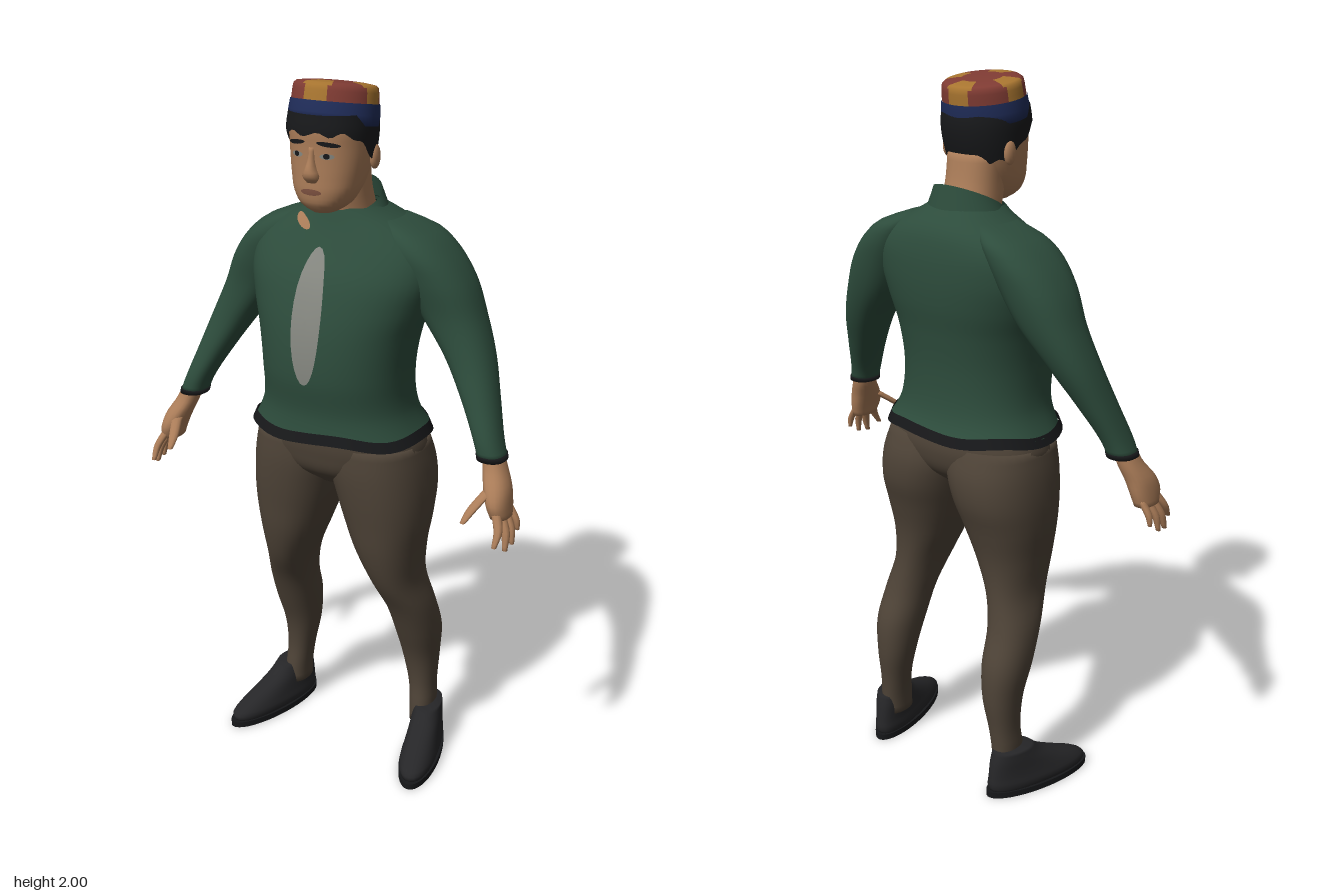
import * as THREE from 'three';

const mat = (name, color, side = THREE.FrontSide) => {
  const m = new THREE.MeshStandardMaterial({ color, side });
  m.name = name;
  return m;
};
const SQUARE = 0.88; // below 1 makes the cross-sections a little boxy
const bend = (v, p) => Math.sign(v) * Math.abs(v) ** p;
const lerp = THREE.MathUtils.lerp;

// Skin rows of points (bottom to top, each running anticlockwise from above)
function skin(rows, closed = true, pick = null) {
  const n = rows[0].length, lists = [[], []];
  for (let j = 0; j < rows.length - 1; j++) {
    for (let i = 0; i < (closed ? n : n - 1); i++) {
      const k = (i + 1) % n, a = j * n + i, b = j * n + k, c = a + n, d = b + n;
      lists[pick ? pick(i, j) : 0].push(a, b, c, b, d, c);
    }
  }
  const g = new THREE.BufferGeometry().setFromPoints(rows.flat());
  g.setIndex(lists.flat());
  if (pick) {
    g.addGroup(0, lists[0].length, 0);
    g.addGroup(lists[0].length, lists[1].length, 1);
  }
  g.computeVertexNormals();
  return g;
}

// Smooth surface through sections [y, xMin, xMax, zBack, zFront]
function surface(sections) {
  const curve = new THREE.CubicInterpolant(
    new Float32Array(sections.map(s => s[0])), new Float32Array(sections.flatMap(s => s.slice(1))), 4);
  const at = y => {
    const [x0, x1, z0, z1] = curve.evaluate(y);
    return { cx: (x0 + x1) / 2, rx: (x1 - x0) / 2, cz: (z0 + z1) / 2, rz: (z1 - z0) / 2 };
  };
  return {
    y0: sections[0][0], y1: sections[sections.length - 1][0],
    // point at angle a, measured from the front towards +x
    point(y, a, grow = 1) {
      const s = at(y);
      return new THREE.Vector3(s.cx + s.rx * grow * bend(Math.sin(a), SQUARE), y,
        s.cz + s.rz * grow * bend(Math.cos(a), SQUARE));
    },
    front(x, y, lift) {
      const s = at(y), t = THREE.MathUtils.clamp((x - s.cx) / s.rx, -1, 1);
      const a = Math.asin(bend(t, 1 / SQUARE));
      return new THREE.Vector3(x, y, s.cz + s.rz * Math.cos(a) ** SQUARE + lift);
    },
  };
}

function loft(surf, { steps = 24, sides = 32, bottom = true, top = true } = {}) {
  const rows = [];
  for (let j = 0; j <= steps; j++) {
    const y = lerp(surf.y0, surf.y1, j / steps);
    rows.push(Array.from({ length: sides }, (_, i) => surf.point(y, i / sides * Math.PI * 2)));
  }
  const cap = row => {
    const c = row.reduce((s, p) => s.add(p), new THREE.Vector3()).divideScalar(sides);
    return row.map(() => c.clone());
  };
  if (bottom) rows.unshift(cap(rows[0]));
  if (top) rows.push(cap(rows[rows.length - 1]));
  return skin(rows);
}

// Band around an axis: fn(angle, v) gives each point
function band(fn, sides = 48, steps = 6) {
  return skin(Array.from({ length: steps + 1 }, (_, j) =>
    Array.from({ length: sides }, (_, i) => fn(i / sides * Math.PI * 2, j / steps))));
}

// Thin oval laid on the front of a surface
function patch(surf, x, y, w, h, lift = 0.004, tilt = 0) {
  return band((a, v) => {
    const px = Math.cos(a) * w * (1 - v);
    return surf.front(x + px, y + Math.sin(a) * h * (1 - v) + px * tilt, lift);
  }, 28, 8);
}

const both = rows => rows.map(([y, w, b, f]) => [y, -w, w, b, f]);
const mirror = (rows, s) => s > 0 ? rows : rows.map(([y, a, b, c, d]) => [y, -b, -a, c, d]);

export function createModel() {
  const model = new THREE.Group();
  const green = mat('green jumper', 0x2d4c3c, THREE.DoubleSide);
  const brown = mat('brown trousers', 0x4e4337);
  const flesh = mat('skin', 0xaa7c58);
  const black = mat('black hair and trim', 0x17181a, THREE.DoubleSide);
  const shoeGrey = mat('charcoal shoe', 0x262628);
  const grey = mat('pale grey', 0x858780);
  const red = mat('hat red', 0x7f3b33);
  const gold = mat('hat gold', 0xa87530);
  const navy = mat('hat navy', 0x202d5a);
  const lip = mat('lip', 0x7d5140);
  const add = (name, geometry, material, parent = model) => {
    const m = new THREE.Mesh(geometry, material);
    m.name = name;
    parent.add(m);
    return m;
  };

  // Jumper body, hem, chest panel and stand-up collar
  const torso = surface(both([
    [1.06, .25, -.19, .2], [1.09, .232, -.172, .195], [1.13, .216, -.16, .192], [1.23, .21, -.155, .205],
    [1.34, .225, -.166, .2], [1.42, .25, -.18, .184], [1.5, .268, -.185, .157], [1.57, .25, -.18, .118],
    [1.62, .19, -.165, .09], [1.65, .13, -.14, .076], [1.67, .1, -.11, .068]]));
  add('jumperBody', loft(torso, { steps: 40, sides: 48, bottom: false, top: false }), green);
  add('jumperHem', band((a, v) => {
    const p = torso.point(1.07, a, 1.06 - v * .05);
    p.y = 1.05 + v * .028 + .006 * Math.sin(a * 5) + .004 * Math.cos(a * 2);
    return p;
  }, 64, 3), black);
  add('chestPanel', patch(torso, -.003, 1.398, .044, .178), grey);
  add('neckOpening', patch(torso, -.075, 1.628, .028, .014, .006, -.4), flesh);
  add('collar', band((a, v) => new THREE.Vector3(
    Math.sin(a) * lerp(.118, .094, v), lerp(1.645, 1.688, v) - Math.cos(a) * lerp(.012, .04, v),
    -.018 + Math.cos(a) * lerp(.102, .085, v)), 40, 5), green);

  // Hips
  add('hips', loft(surface(both([
    [.89, .07, -.08, .08], [.94, .19, -.14, .14], [1, .247, -.162, .16], [1.06, .235, -.158, .165],
    [1.12, .2, -.14, .16]]))), brown);

  for (const s of [1, -1]) {
    const side = s > 0 ? 'left' : 'right';
    const part = (name, rows, material, options) =>
      add(side + name, loft(surface(mirror(rows, s)), options), material);

    // Sleeve and cuff
    part('Sleeve', [
      [1.065, .44, .515, .005, .092], [1.1, .428, .502, -.005, .09], [1.2, .372, .469, -.05, .066],
      [1.3, .305, .436, -.096, .045], [1.4, .225, .396, -.13, .04], [1.5, .165, .352, -.15, .055],
      [1.57, .13, .295, -.155, .06], [1.61, .11, .24, -.145, .045], [1.64, .09, .16, -.11, .02]],
    green, { steps: 36 });
    part('Cuff', [[1.06, .439, .518, .003, .095], [1.073, .436, .515, .001, .094]], black, { steps: 1 });

    // Hand: palm, four fingers and a forward thumb
    part('Palm', [
      [.925, .505, .556, .05, .135], [.96, .494, .553, .04, .146], [1.0, .478, .545, .034, .13],
      [1.04, .463, .525, .024, .1], [1.09, .452, .502, .018, .082]], flesh, { steps: 12, sides: 20 });
    const finger = (name, r, points) => part(name, points.map(([x, y, z], i) => {
      const k = r * [.55, .95, 1.1][i];
      return [y, x - k, x + k, z - k, z + k];
    }), flesh, { steps: 8, sides: 10 });
    finger('IndexFinger', .012, [[.548, .868, .172], [.548, .905, .15], [.528, .95, .125]]);
    finger('MiddleFinger', .012, [[.563, .848, .135], [.557, .893, .122], [.532, .94, .105]]);
    finger('RingFinger', .011, [[.567, .853, .1], [.56, .895, .094], [.535, .94, .083]]);
    finger('LittleFinger', .01, [[.565, .878, .062], [.56, .905, .062], [.535, .945, .06]]);
    finger('Thumb', .014, [[.468, .93, .195], [.477, .955, .165], [.5, .995, .112]]);

    // Leg
    part('Leg', [
      [.08, .188, .25, -.15, -.05], [.13, .186, .258, -.152, -.05], [.2, .178, .255, -.157, -.058],
      [.3, .158, .26, -.17, -.045], [.4, .145, .27, -.166, -.008], [.5, .135, .264, -.132, .034],
      [.6, .11, .243, -.115, .088], [.7, .066, .25, -.12, .12], [.8, .028, .264, -.145, .136],
      [.88, .002, .267, -.17, .147], [.96, -.02, .26, -.172, .153], [1.03, -.02, .245, -.15, .15]],
    brown, { steps: 44 });

    // Shoe with a flat sole, toes turned out
    const foot = new THREE.Group();
    foot.name = side + 'Foot';
    foot.position.set(.264 * s, 0, -.014);
    foot.rotation.y = .26 * s;
    model.add(foot);
    const sole = add(side + 'Sole', new THREE.CylinderGeometry(1, 1, .018, 40), black, foot);
    sole.scale.set(.058, 1, .176);
    sole.position.y = .009;
    add(side + 'Shoe', loft(surface([
      [.016, -.05, .05, -.165, .162], [.035, -.054, .054, -.17, .165], [.055, -.05, .05, -.168, .135],
      [.08, -.046, .046, -.165, .075], [.11, -.043, .043, -.16, .01], [.14, -.039, .039, -.152, -.028]]),
    { steps: 14 }), shoeGrey, foot);

    // Ear, eye and brow
    const ear = add(side + 'Ear', new THREE.SphereGeometry(1, 14, 10), flesh);
    ear.scale.set(.012, .032, .02);
    ear.position.set(.106 * s, 1.805, .025);
  }

  // Neck and head
  add('neck', loft(surface(both([
    [1.6, .085, -.09, .06], [1.66, .08, -.085, .07], [1.72, .077, -.065, .085], [1.8, .08, -.05, .09]])),
  { steps: 10 }), flesh);
  const head = surface(both([
    [1.668, .03, .05, .13], [1.685, .058, .025, .152], [1.72, .083, 0, .163], [1.76, .095, -.025, .163],
    [1.8, .102, -.04, .162], [1.84, .106, -.05, .162], [1.88, .108, -.053, .163], [1.92, .104, -.045, .155]]));
  add('head', loft(head, { sides: 40 }), flesh);
  add('nose', loft(surface(both([
    [1.752, .015, .14, .17], [1.767, .023, .14, .183], [1.785, .016, .14, .183], [1.81, .01, .14, .173],
    [1.84, .01, .13, .166]])), { steps: 10, sides: 16 }), flesh);
  add('mouth', patch(head, 0, 1.728, .03, .008, .004), lip);
  for (const s of [1, -1]) {
    const side = s > 0 ? 'left' : 'right';
    add(side + 'EyeWhite', patch(head, .043 * s, 1.82, .018, .007, .003), grey);
    add(side + 'Pupil', patch(head, .043 * s, 1.821, .008, .007, .005), black);
    add(side + 'Brow', patch(head, .046 * s, 1.85, .029, .006, .004, -.12 * s), black);
  }

  // Hair: short fringe, longer behind the ears and at the nape
  add('hair', band((a, v) => {
    const behind = Math.abs(Math.PI - a), fromFront = Math.PI - behind;
    const low = 1.873 - .09 * THREE.MathUtils.smoothstep(fromFront, .8, 2.1) + .006 * Math.sin(a * 11);
    return head.point(lerp(low, 1.92, v), a, 1.065);
  }, 64, 8), black);

  // Round hat, tipped back: navy band under a red crown with four gold panels
  const hat = new THREE.Group();
  hat.name = 'hat';
  hat.position.set(0, 1.885, .053);
  hat.rotation.x = -.15;
  model.add(hat);
  const ring = (y, r, n = 64) => Array.from({ length: n }, (_, i) => {
    const a = i / n * Math.PI * 2;
    return new THREE.Vector3(Math.sin(a) * r * 1.1, y, Math.cos(a) * r);
  });
  add('hatBand', skin([ring(0, 0), ring(0, .107), ring(.026, .109), ring(.054, .106)]), navy, hat);
  const profile = [[.052, .104], [.066, .103], [.08, .102], [.092, .1], [.098, .093], [.1, .08],
    [.102, .066], [.103, .052], [.104, .03], [.104, 0]];
  add('hatCrown', skin(profile.map(([y, r]) => ring(y, r)), true, (i, j) => {
    const quarter = (i + .5) % 16, away = Math.min(quarter, 16 - quarter);
    return j < 7 && away < (j < 3 ? 3 : 3.6) ? 1 : 0;
  }), [red, gold], hat);

  return model;
}
